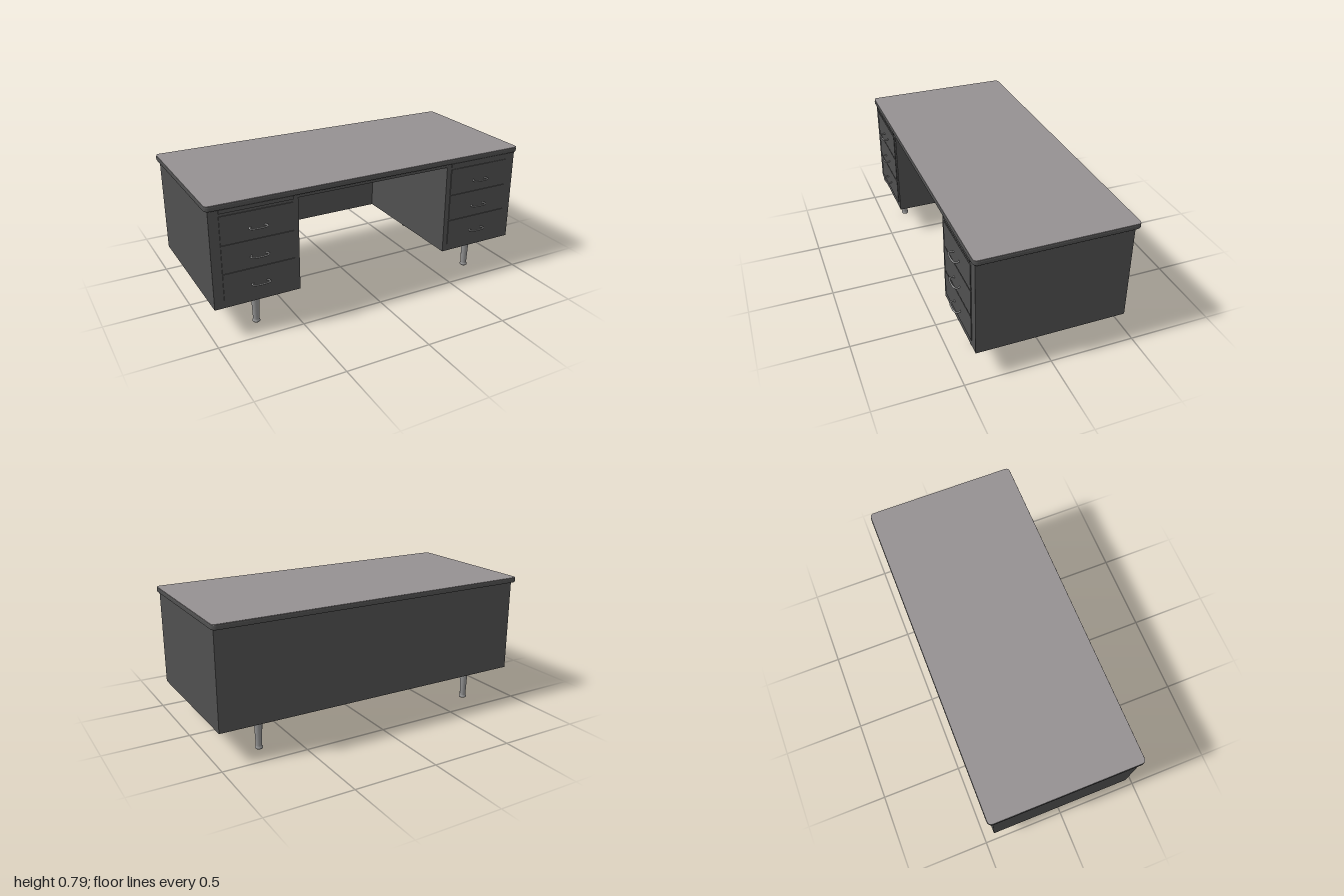
import * as THREE from 'three';

const bodyPaint = new THREE.MeshStandardMaterial({ name: 'charcoal body paint', color: 0x505050 });
const topSurface = new THREE.MeshStandardMaterial({ name: 'grey top surface', color: 0x959192 });
const metal = new THREE.MeshStandardMaterial({ name: 'brushed metal', color: 0x929292 });

function add(parent, name, geometry, material, x = 0, y = 0, z = 0) {
  const mesh = new THREE.Mesh(geometry, material);
  mesh.name = name;
  mesh.position.set(x, y, z);
  parent.add(mesh);
  return mesh;
}

// Box given by its minimum and maximum corners
function box(parent, name, material, [x0, y0, z0], [x1, y1, z1]) {
  return add(parent, name, new THREE.BoxGeometry(x1 - x0, y1 - y0, z1 - z0), material,
    (x0 + x1) / 2, (y0 + y1) / 2, (z0 + z1) / 2);
}

// Horizontal slab with rounded corners, w by d, spanning y0 to y1
function slab(parent, name, material, w, d, r, y0, y1, bevel) {
  const x = w / 2 - bevel, y = d / 2 - bevel;
  const s = new THREE.Shape();
  s.moveTo(-x + r, -y);
  s.lineTo(x - r, -y);
  s.quadraticCurveTo(x, -y, x, -y + r);
  s.lineTo(x, y - r);
  s.quadraticCurveTo(x, y, x - r, y);
  s.lineTo(-x + r, y);
  s.quadraticCurveTo(-x, y, -x, y - r);
  s.lineTo(-x, -y + r);
  s.quadraticCurveTo(-x, -y, -x + r, -y);
  const g = new THREE.ExtrudeGeometry(s, {
    depth: y1 - y0 - 2 * bevel, bevelEnabled: bevel > 0, bevelSize: bevel,
    bevelThickness: bevel, bevelSegments: 3, curveSegments: 6,
  });
  g.rotateX(-Math.PI / 2);
  return add(parent, name, g, material, 0, y0 + bevel, -0.015);
}

// Looped pull, lying flat
function handleGeometry() {
  const path = new THREE.CatmullRomCurve3([
    [-0.04, 0, -0.002], [-0.05, 0, 0.014], [-0.047, 0, 0.027], [-0.03, 0, 0.034],
    [0, 0, 0.036], [0.03, 0, 0.034], [0.047, 0, 0.027], [0.05, 0, 0.014], [0.04, 0, -0.002],
  ].map((p) => new THREE.Vector3(...p)));
  return new THREE.TubeGeometry(path, 32, 0.005, 8);
}

// Tapered leg with a ringed foot
function legGeometry() {
  return new THREE.LatheGeometry([
    [0, 0], [0.018, 0], [0.022, 0.004], [0.022, 0.011], [0.018, 0.015],
    [0.018, 0.02], [0.024, 0.183],
  ].map((p) => new THREE.Vector2(...p)), 24);
}

export function createModel() {
  const desk = new THREE.Group();
  desk.name = 'desk';

  // Table top: dark edge with a lighter writing surface
  slab(desk, 'topEdge', bodyPaint, 2, 0.914, 0.025, 0.755, 0.785, 0.008);
  slab(desk, 'writingSurface', topSurface, 1.994, 0.908, 0.025, 0.783, 0.787, 0);

  // Back panel and the rail over the knee space
  box(desk, 'backPanel', bodyPaint, [-0.485, 0.187, -0.44], [0.485, 0.756, -0.42]);
  box(desk, 'kneeRail', bodyPaint, [-0.485, 0.735, 0.4], [0.485, 0.756, 0.428]);

  const pull = handleGeometry();
  const leg = legGeometry();

  for (const side of [-1, 1]) {
    const pedestal = new THREE.Group();
    pedestal.name = side < 0 ? 'rightPedestal' : 'leftPedestal';
    desk.add(pedestal);
    const cx = side * 0.72;
    box(pedestal, 'cabinet', bodyPaint,
      [side * 0.7325 - 0.25, 0.187, -0.44], [side * 0.7325 + 0.25, 0.756, 0.429]);

    // Pull-out writing board above the drawers
    box(pedestal, 'pullOutBoard', bodyPaint, [cx - 0.207, 0.733, 0.42], [cx + 0.207, 0.754, 0.435]);

    // Three drawers, each with a pull
    for (const [y0, y1] of [[0.23, 0.387], [0.393, 0.552], [0.558, 0.717]]) {
      box(pedestal, 'drawerFront', bodyPaint, [cx - 0.207, y0, 0.42], [cx + 0.207, y1, 0.434]);
      add(pedestal, 'drawerPull', pull, metal, cx, (y0 + y1) / 2 - 0.012, 0.432);
    }

    // Legs with mounting plates
    for (const z of [0.345, -0.348]) {
      add(pedestal, 'leg', leg, metal, side * 0.722, 0, z);
      box(pedestal, 'legPlate', bodyPaint,
        [side * 0.722 - 0.045, 0.182, z - 0.045], [side * 0.722 + 0.045, 0.188, z + 0.045]);
    }
  }
  return desk;
}
